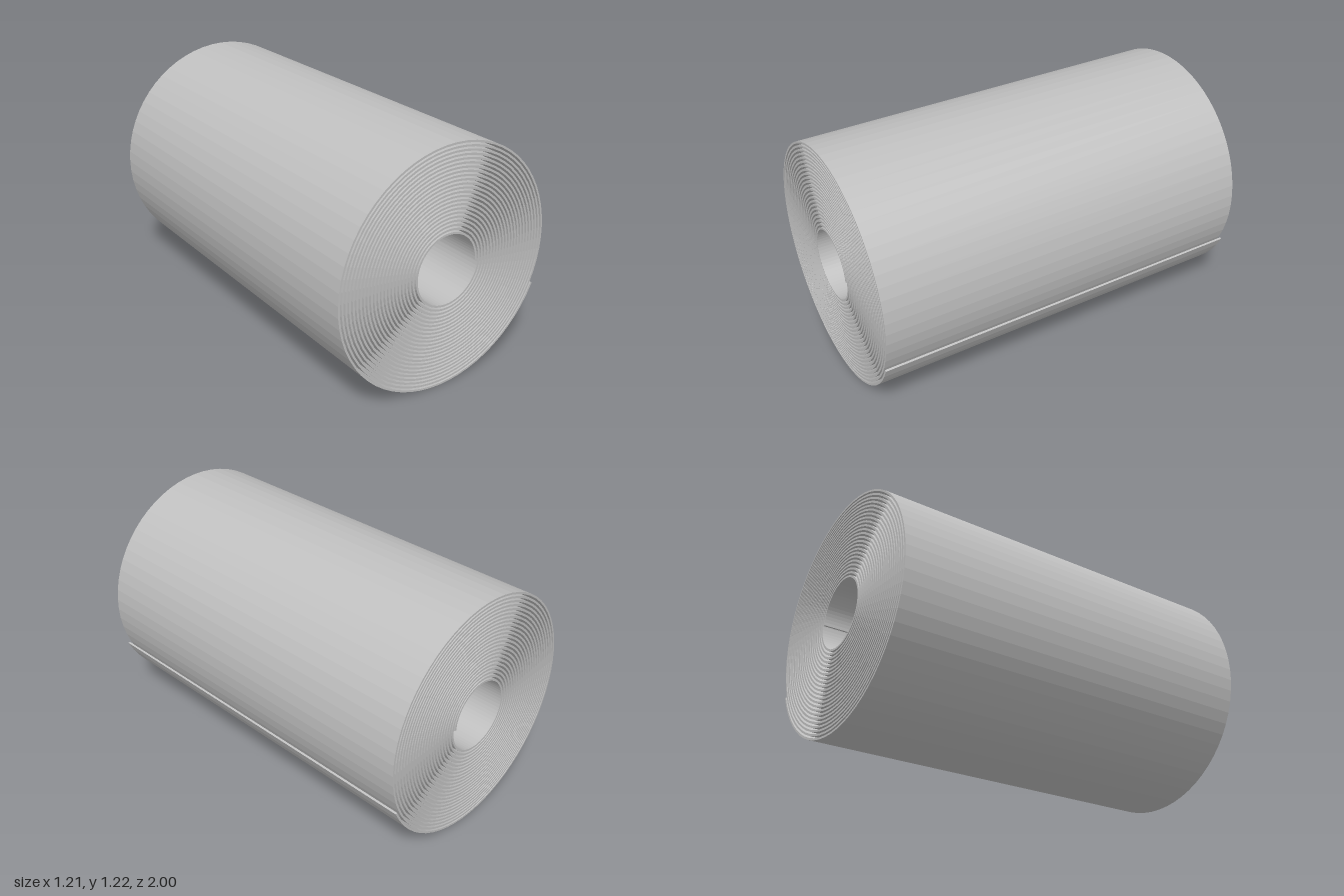
import * as THREE from 'three';

const LENGTH = 2;           // along z
const THICKNESS = 0.01;     // of the sheet
const INNER = 0.166;        // inner face radius at the start of the spiral
const OUTER = 0.6205;       // outer face radius at the free end
const TURNS = 22 + 336.5 / 360;
const SEGMENTS = Math.round(TURNS * 64);

// Sheet of constant thickness, wound counter-clockwise from the core outwards
function spiralSheet() {
  const positions = [];
  const index = [];
  const growth = OUTER - INNER - THICKNESS;
  for (let i = 0; i <= SEGMENTS; i++) {
    const t = i / SEGMENTS;
    const angle = t * TURNS * Math.PI * 2;
    const c = Math.cos(angle), s = Math.sin(angle);
    const r0 = INNER + growth * t;
    const r1 = r0 + THICKNESS;
    // rectangular section: inner front, outer front, outer back, inner back
    for (const [r, z] of [[r0, 1], [r1, 1], [r1, -1], [r0, -1]]) {
      positions.push(r * c, r * s, z * LENGTH / 2);
    }
  }
  // four long faces joining neighbouring sections
  for (let i = 0; i < SEGMENTS; i++) {
    for (let k = 0; k < 4; k++) {
      const a = i * 4 + k, b = i * 4 + (k + 1) % 4;
      index.push(a, b, b + 4, a, b + 4, a + 4);
    }
  }
  // closed edges at the core and at the free end
  const e = SEGMENTS * 4;
  index.push(0, 2, 1, 0, 3, 2, e, e + 1, e + 2, e, e + 2, e + 3);

  const indexed = new THREE.BufferGeometry();
  indexed.setAttribute('position', new THREE.Float32BufferAttribute(positions, 3));
  indexed.setIndex(index);
  const geometry = indexed.toNonIndexed();
  geometry.computeVertexNormals();
  // centre the roll and rest it on the ground
  geometry.computeBoundingBox();
  const { min, max } = geometry.boundingBox;
  geometry.translate(-(min.x + max.x) / 2, -min.y, 0);
  return geometry;
}

export function createModel() {
  const group = new THREE.Group();
  group.name = 'sheetRoll';
  const sheetGrey = new THREE.MeshStandardMaterial({ color: 0xbfbfbf, side: THREE.DoubleSide });
  sheetGrey.name = 'sheetGrey';
  const sheet = new THREE.Mesh(spiralSheet(), sheetGrey);
  sheet.name = 'rolledSheet';
  group.add(sheet);
  return group;
}
